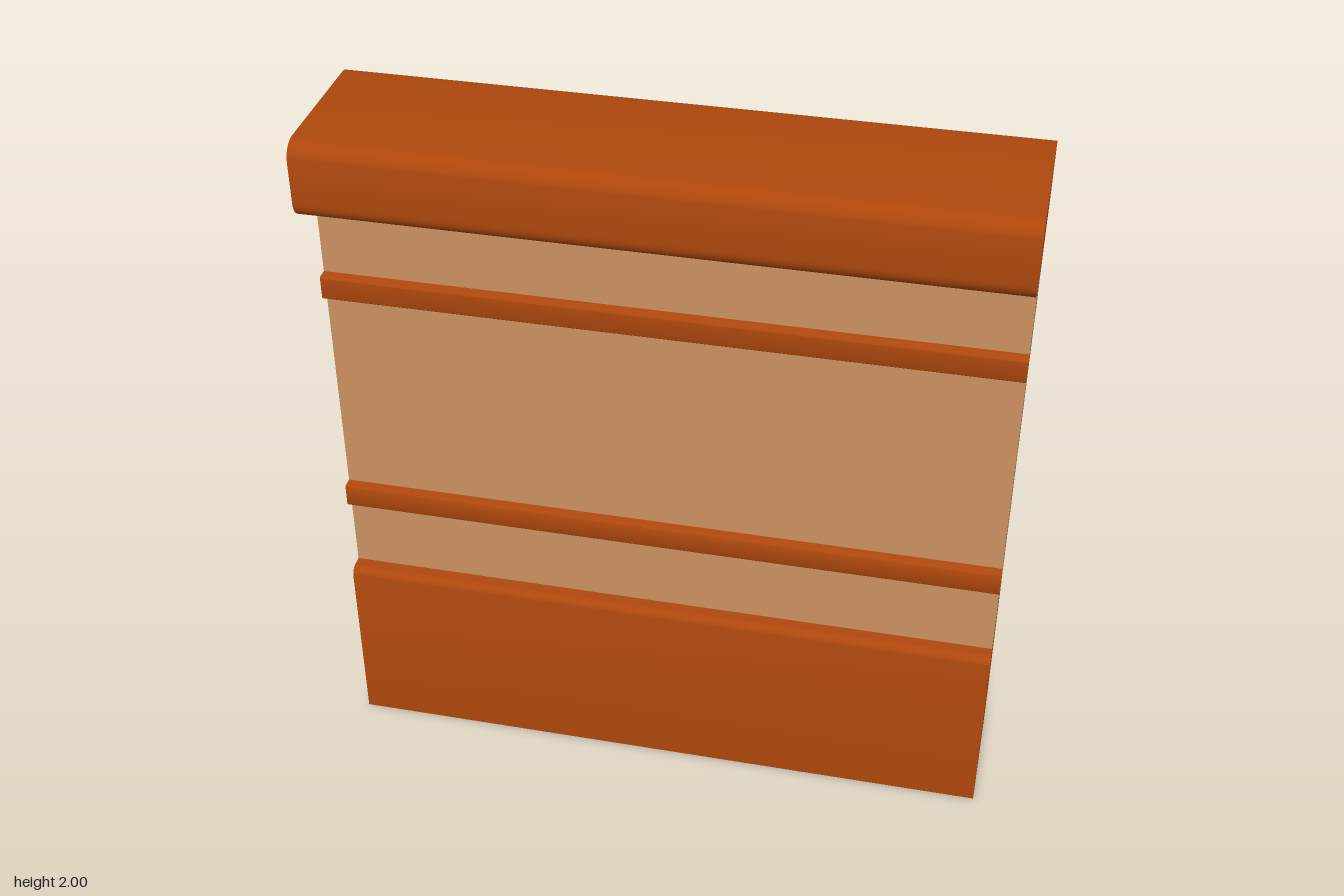
import * as THREE from 'three';
import { toCreasedNormals } from 'three/addons/utils/BufferGeometryUtils.js';

const LENGTH = 1.88;

// Rounded cross-section from z0..z1 and y0..y1, swept along x
function moulding(z0, z1, y0, y1, topR, bottomR) {
  const a = -z1, b = -z0; // shape x becomes -z after the turn
  const s = new THREE.Shape();
  s.moveTo(a + bottomR, y0);
  s.lineTo(b - bottomR, y0);
  if (bottomR) s.absarc(b - bottomR, y0 + bottomR, bottomR, -Math.PI / 2, 0);
  s.lineTo(b, y1 - topR);
  s.absarc(b - topR, y1 - topR, topR, 0, Math.PI / 2);
  s.lineTo(a + topR, y1);
  s.absarc(a + topR, y1 - topR, topR, Math.PI / 2, Math.PI);
  s.lineTo(a, y0 + bottomR);
  if (bottomR) s.absarc(a + bottomR, y0 + bottomR, bottomR, Math.PI, Math.PI * 1.5);
  const g = new THREE.ExtrudeGeometry(s, { depth: LENGTH, bevelEnabled: false, curveSegments: 4 });
  g.translate(0, 0, -LENGTH / 2);
  g.rotateY(Math.PI / 2);
  return toCreasedNormals(g, 0.6);
}

// Remove the triangles lying on the ground so the shell is open below
function openBottom(g) {
  const p = g.attributes.position, n = g.attributes.normal;
  const pos = [], nor = [];
  for (let i = 0; i < p.count; i += 3) {
    if (Math.max(p.getY(i), p.getY(i + 1), p.getY(i + 2)) < 0.001) continue;
    for (let k = i; k < i + 3; k++) {
      pos.push(p.getX(k), p.getY(k), p.getZ(k));
      nor.push(n.getX(k), n.getY(k), n.getZ(k));
    }
  }
  const out = new THREE.BufferGeometry();
  out.setAttribute('position', new THREE.Float32BufferAttribute(pos, 3));
  out.setAttribute('normal', new THREE.Float32BufferAttribute(nor, 3));
  return out;
}

export function createModel() {
  const group = new THREE.Group();
  group.name = 'wallSection';
  const brown = new THREE.MeshStandardMaterial({ color: 0xad470d, side: THREE.DoubleSide });
  brown.name = 'rustBrown';
  const tan = new THREE.MeshStandardMaterial({ color: 0xca9160 });
  tan.name = 'tan';

  const add = (name, geometry, material) => {
    const mesh = new THREE.Mesh(geometry, material);
    mesh.name = name;
    group.add(mesh);
    return mesh;
  };

  // Hollow plinth, open underneath
  add('base', openBottom(moulding(-0.235, 0.143, 0, 0.548, 0.025, 0)), brown);

  // Plain wall panel
  add('panel', new THREE.BoxGeometry(LENGTH, 1.26, 0.272), tan).position.set(0, 1.165, -0.046);

  // Two thin bands around the panel
  [['lowerBand', 0.773], ['upperBand', 1.477]].forEach(([name, y]) =>
    add(name, moulding(-0.216, 0.122, y, y + 0.069, 0.006, 0.006), brown));

  // Rounded coping on top
  add('cap', moulding(-0.236, 0.236, 1.783, 2, 0.05, 0.05), brown);

  return group;
}
